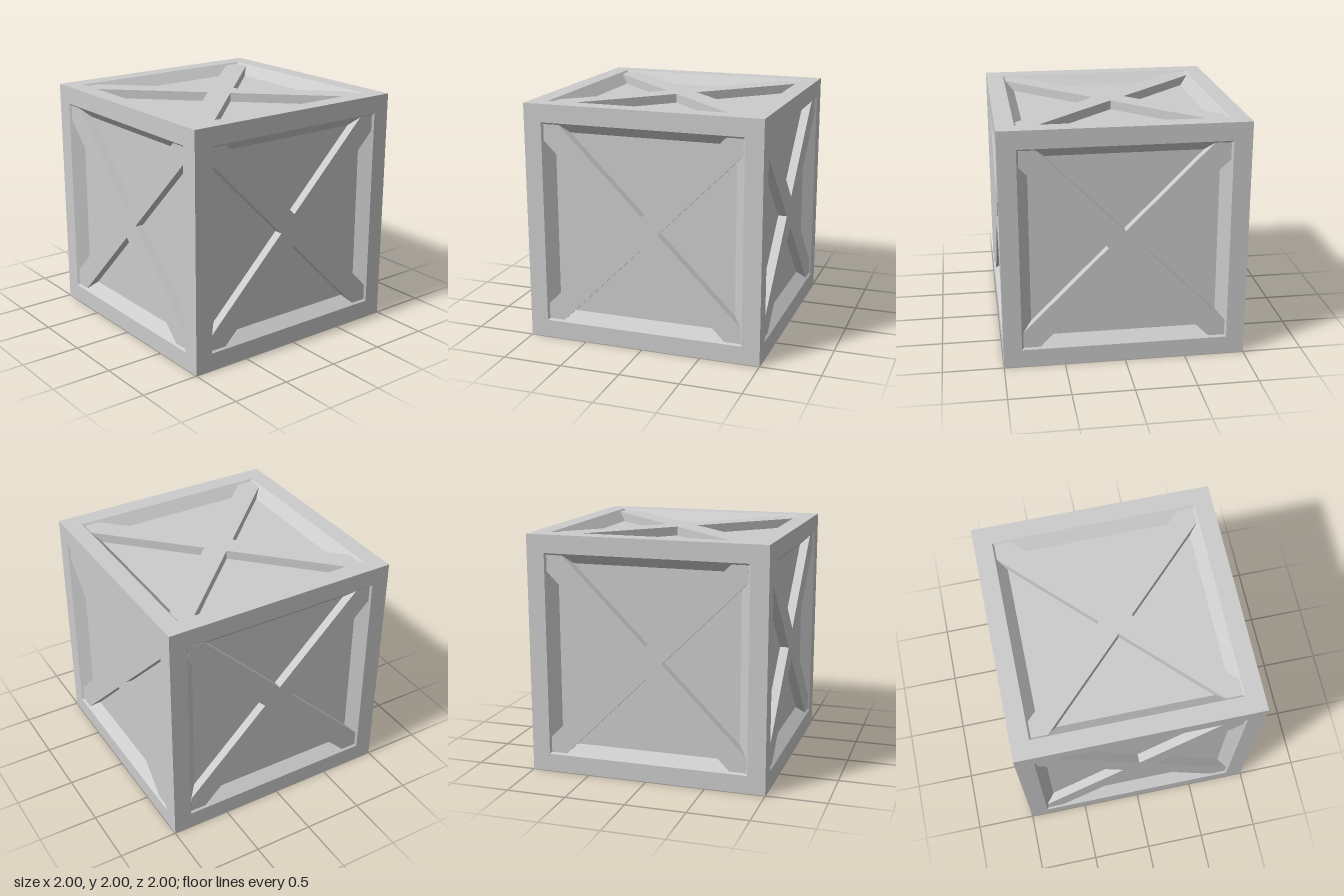
import * as THREE from 'three';

export function createModel() {
  const model = new THREE.Group();
  const material = new THREE.MeshStandardMaterial({ color: 0xcccccc, flatShading: true });

  // One side of the crate facing +y: flat rim, sloped inner edge and recessed panel
  const D = Math.SQRT2; // half side -> corner radius
  const PANEL = 0.91;
  const profile = [[1, 1], [0.85, 1], [0.765, PANEL], [0, PANEL]]
    .map(([half, y]) => new THREE.Vector2(half * D, y));
  const sideGeometry = new THREE.LatheGeometry(profile, 4, Math.PI / 4);

  // Diagonal cross brace with square-cut ends, sitting just below the rim
  const END = 0.835, HALF = 0.135, TOP = 0.985;
  const outline = [];
  for (let i = 0; i < 4; i++) {
    const arm = [[END, END - HALF], [END, END], [END - HALF, END], [0, HALF]];
    for (const [x, y] of arm) {
      outline.push(new THREE.Vector2(x, y).rotateAround(new THREE.Vector2(), i * Math.PI / 2));
    }
  }
  const braceGeometry = new THREE.ExtrudeGeometry(new THREE.Shape(outline), {
    depth: TOP - PANEL + 0.01, bevelEnabled: false,
  });
  braceGeometry.translate(0, 0, PANEL - 0.01).rotateX(-Math.PI / 2);

  // Six identical sides
  const sides = {
    top: [0, 0, 0],
    bottom: [Math.PI, 0, 0],
    front: [Math.PI / 2, 0, 0],
    back: [-Math.PI / 2, 0, 0],
    left: [0, 0, -Math.PI / 2],
    right: [0, 0, Math.PI / 2],
  };
  for (const [name, rotation] of Object.entries(sides)) {
    const side = new THREE.Group();
    side.name = name + 'Side';
    const panel = new THREE.Mesh(sideGeometry, material);
    panel.name = name + 'FrameAndPanel';
    const brace = new THREE.Mesh(braceGeometry, material);
    brace.name = name + 'CrossBrace';
    side.add(panel, brace);
    side.rotation.set(...rotation);
    side.position.y = 1;
    model.add(side);
  }
  return model;
}
